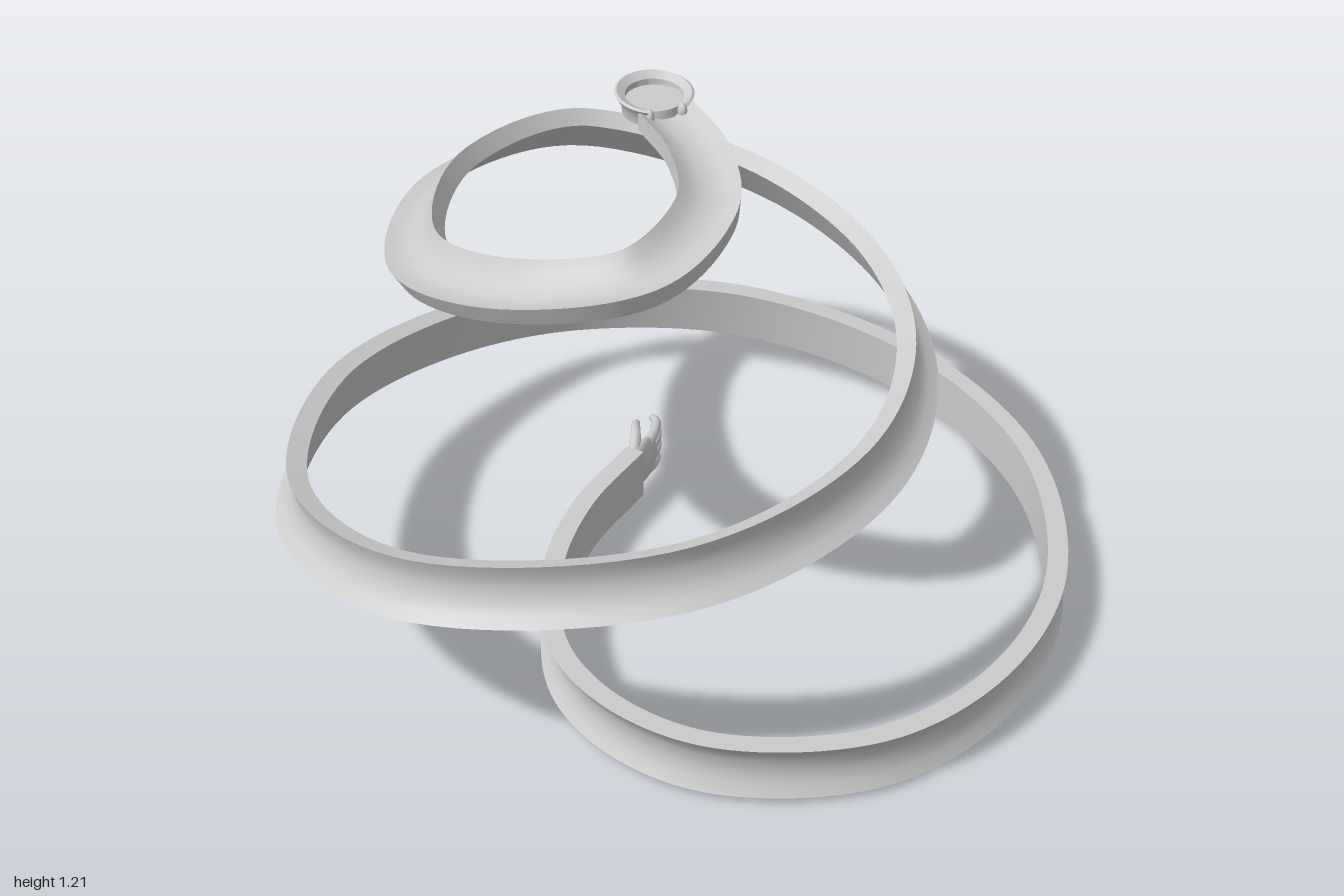
import * as THREE from 'three';
import { toCreasedNormals } from 'three/addons/utils/BufferGeometryUtils.js';

const material = new THREE.MeshStandardMaterial({ color: 0xcccccc, side: THREE.DoubleSide });

function add(parent, name, geometry) {
  const mesh = new THREE.Mesh(geometry, material);
  mesh.name = name;
  parent.add(mesh);
  return mesh;
}

// Spiral path: x, y, z and outward tilt of the band in degrees
const path = [
  [0.01, 0.09, -0.3, 0], [-0.2, 0.09, -0.14, 0], [-0.37, 0.09, 0.08, 0], [-0.46, 0.095, 0.36, 0],
  [-0.41, 0.095, 0.6, 0], [-0.25, 0.09, 0.79, 0], [0.1, 0.087, 0.915, 0], [0.45, 0.082, 0.83, 0],
  [0.77, 0.075, 0.56, 0], [0.97, 0.078, 0.06, 0], [0.87, 0.125, -0.4, 1], [0.55, 0.18, -0.76, 3],
  [0.12, 0.22, -0.92, 5], [-0.3, 0.29, -0.84, 8], [-0.7, 0.36, -0.58, 12], [-0.955, 0.435, -0.05, 16],
  [-0.83, 0.53, 0.44, 19], [-0.3, 0.6, 0.73, 22], [0.2, 0.615, 0.6, 24], [0.52, 0.63, 0.25, 26],
  [0.63, 0.655, -0.2, 29], [0.49, 0.72, -0.61, 34], [0.1, 0.81, -0.88, 42], [-0.32, 0.88, -0.68, 50],
  [-0.575, 0.96, -0.17, 58], [-0.48, 1.06, 0.2, 66], [-0.25, 1.13, 0.365, 76], [-0.03, 1.16, 0.22, 84],
  [0.06, 1.165, -0.02, 90], [0.07, 1.165, -0.23, 90],
];

// Cross-section (outward, across): flat inside, hollowed outside
const section = [
  [-0.025, -0.07], [0.025, -0.07], [0.008, -0.045], [-0.002, -0.018],
  [-0.002, 0.018], [0.008, 0.045], [0.025, 0.07], [-0.025, 0.07],
];

function bandGeometry(steps) {
  const curve = new THREE.CatmullRomCurve3(path.map(([x, y, z]) => new THREE.Vector3(x, y, z)));
  const up = new THREE.Vector3(0, 1, 0);
  const n = section.length;
  const positions = [];
  const index = [];
  for (let i = 0; i <= steps; i++) {
    const t = i / steps;
    const p = curve.getPoint(t);
    const tangent = curve.getTangent(t);
    const radial = tangent.clone().cross(up).normalize();
    const rise = radial.clone().cross(tangent);
    const s = t * (path.length - 1);
    const k = Math.min(Math.floor(s), path.length - 2);
    const tilt = THREE.MathUtils.degToRad(THREE.MathUtils.lerp(path[k][3], path[k + 1][3], s - k));
    const c = Math.cos(tilt), d = Math.sin(tilt);
    for (const [o, w] of section) {
      const v = p.clone().addScaledVector(radial, o * c - w * d).addScaledVector(rise, o * d + w * c);
      positions.push(v.x, v.y, v.z);
    }
  }
  for (let i = 0; i < steps; i++) {
    for (let j = 0; j < n; j++) {
      const a = i * n + j, d = i * n + (j + 1) % n;
      index.push(a, a + n, d + n, a, d + n, d);
    }
  }
  // End caps
  const caps = THREE.ShapeUtils.triangulateShape(section.map(([x, y]) => new THREE.Vector2(x, y)), []);
  for (const [a, b, c] of caps) {
    index.push(a, b, c, steps * n + a, steps * n + c, steps * n + b);
  }
  const g = new THREE.BufferGeometry();
  g.setAttribute('position', new THREE.Float32BufferAttribute(positions, 3));
  g.setIndex(index);
  return toCreasedNormals(g, 0.6);
}

// Tapered, round-tipped digit along a few points
function digitGeometry(points, r0, r1) {
  const curve = new THREE.CatmullRomCurve3(points.map((p) => new THREE.Vector3(...p)));
  const rows = 14, sides = 10;
  const g = new THREE.TubeGeometry(curve, rows, 1, sides, false);
  const pos = g.attributes.position;
  const v = new THREE.Vector3();
  for (let i = 0; i < pos.count; i++) {
    const t = Math.floor(i / (sides + 1)) / rows;
    const tip = t > 0.85 ? Math.sqrt(Math.max(0, 1 - ((t - 0.85) / 0.15) ** 2)) : 1;
    const centre = curve.getPointAt(t);
    v.fromBufferAttribute(pos, i).sub(centre).multiplyScalar(THREE.MathUtils.lerp(r0, r1, t) * tip).add(centre);
    pos.setXYZ(i, v.x, v.y, v.z);
  }
  g.computeVertexNormals();
  return g;
}

function makeHand() {
  const hand = new THREE.Group();
  hand.name = 'hand';
  // Palm, widening from the wrist
  const palm = new THREE.SphereGeometry(1, 24, 16);
  palm.scale(0.075, 0.066, 0.024);
  add(hand, 'palm', palm).position.set(0.055, 0, -0.005);
  // Four curled fingers
  for (let i = 0; i < 4; i++) {
    const y = 0.042 - i * 0.029;
    const reach = [0.92, 1, 0.97, 0.82][i];
    add(hand, 'finger', digitGeometry([
      [0.07, y * 0.9, -0.004], [0.125, y * 1.1, -0.008],
      [0.125 + 0.055 * reach, y * 1.15 - 0.004, -0.028], [0.125 + 0.085 * reach, y * 1.1 - 0.008, -0.064],
    ], 0.016, 0.01));
  }
  add(hand, 'thumb', digitGeometry([
    [0.02, 0.035, -0.008], [0.055, 0.074, -0.022], [0.095, 0.078, -0.045], [0.125, 0.066, -0.06],
  ], 0.018, 0.01));
  hand.position.set(0, 0.09, -0.295);
  hand.rotation.y = 0.64;
  return hand;
}

function makeCup() {
  const cup = new THREE.Group();
  cup.name = 'cup';
  const gap = 0.55;
  // Horseshoe rim, open toward the band and rising at the back
  const profile = [[0.066, 0], [0.077, 0], [0.08, 0.025], [0.096, 0.052], [0.09, 0.056], [0.07, 0.045], [0.066, 0]];
  const rim = new THREE.LatheGeometry(profile.map(([x, y]) => new THREE.Vector2(x, y)), 40, gap, Math.PI * 2 - gap * 2);
  const pos = rim.attributes.position;
  for (let i = 0; i < pos.count; i++) {
    pos.setY(i, pos.getY(i) * (1 - pos.getZ(i) * 2));
  }
  add(cup, 'rim', toCreasedNormals(rim, 0.6));
  const floor = new THREE.CylinderGeometry(0.07, 0.076, 0.036, 40);
  add(cup, 'floor', floor).position.y = 0.018;
  // Small rounded ends of the rim
  for (const side of [-1, 1]) {
    const end = new THREE.SphereGeometry(1, 14, 10);
    end.scale(0.011, 0.022, 0.016);
    add(cup, 'rimEnd', end).position.set(side * 0.081 * Math.sin(gap), 0.025, 0.081 * Math.cos(gap));
  }
  cup.position.set(0.066, 1.148, -0.288);
  return cup;
}

export function createModel() {
  const model = new THREE.Group();
  model.name = 'spiralBand';
  add(model, 'band', bandGeometry(320));
  model.add(makeHand(), makeCup());
  return model;
}
